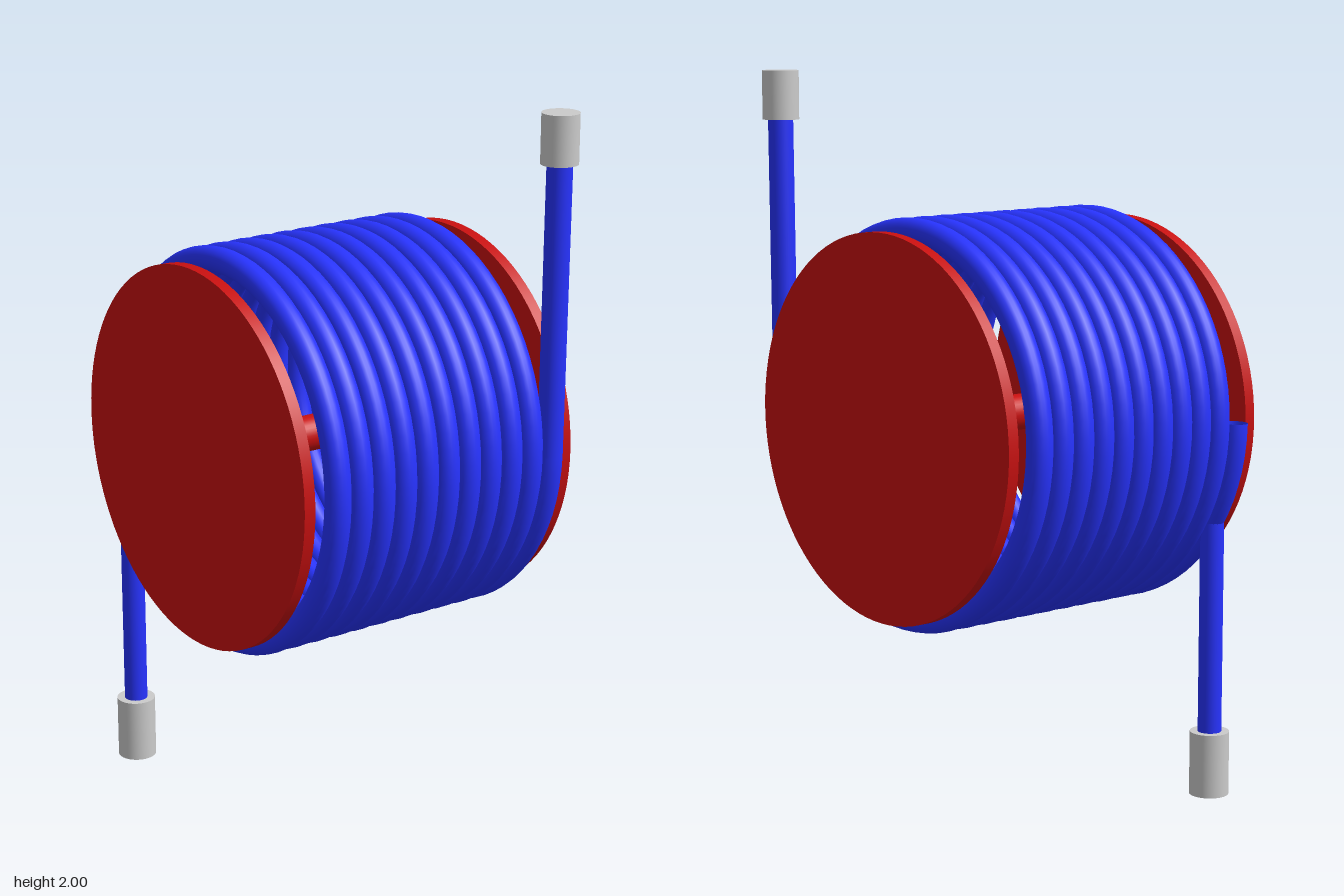
import * as THREE from 'three';

const CY = 1.06, CZ = -0.01;            // reel axis
const COIL_R = 0.527, HOSE_R = 0.035, TURNS = 10.5, COIL_X = 0.37;

const blue = new THREE.MeshStandardMaterial({ color: 0x2733ff, side: THREE.DoubleSide });
const red = new THREE.MeshStandardMaterial({ color: 0xc81010 });
const grey = new THREE.MeshStandardMaterial({ color: 0xcccccc });
const greyThin = new THREE.MeshStandardMaterial({ color: 0xcccccc, side: THREE.DoubleSide });

// Helix from the back of the reel, under it, to the front
class Helix extends THREE.Curve {
  getPoint(u, target = new THREE.Vector3()) {
    const a = u * TURNS * Math.PI * 2;
    return target.set(
      -COIL_X + 2 * COIL_X * u,
      CY - COIL_R * Math.sin(a),
      CZ - COIL_R * Math.cos(a)
    );
  }
}

export function createModel() {
  const model = new THREE.Group();
  const add = (name, geometry, material, x = 0, y = 0, z = 0) => {
    const mesh = new THREE.Mesh(geometry, material);
    mesh.name = name;
    mesh.position.set(x, y, z);
    model.add(mesh);
    return mesh;
  };
  const hose = (name, from, to, radius) =>
    add(name, new THREE.TubeGeometry(new THREE.LineCurve3(from, to), 1, radius, 32), blue);

  // Reel: two flanges on a thin axle
  for (const [name, side] of [['leftFlange', 1], ['rightFlange', -1]]) {
    add(name, new THREE.CylinderGeometry(0.53, 0.53, 0.033, 96), red, side * 0.424, CY, CZ)
      .rotation.z = Math.PI / 2;
  }
  add('axle', new THREE.CylinderGeometry(0.05, 0.05, 0.82, 32), red, 0, CY, CZ)
    .rotation.z = Math.PI / 2;

  // Hose wound around the reel
  add('hoseCoil', new THREE.TubeGeometry(new Helix(), 800, HOSE_R, 20), blue);

  // Straight runs at both ends of the hose
  hose('upperHose',
    new THREE.Vector3(COIL_X, CY, CZ + COIL_R),
    new THREE.Vector3(COIL_X, 1.88, 0.525), HOSE_R);
  hose('lowerHose',
    new THREE.Vector3(-0.364, 0.1, -0.46),
    new THREE.Vector3(-0.364, 0.97, -0.46), 0.033);
  add('lowerHoseRim', new THREE.RingGeometry(0.027, 0.034, 32), greyThin, -0.364, 0.971, -0.46)
    .rotation.x = -Math.PI / 2;

  // End fittings
  add('upperFitting', new THREE.CylinderGeometry(0.051, 0.051, 0.136, 40), grey, 0.368, 1.932, 0.526);
  add('lowerFitting', new THREE.CylinderGeometry(0.055, 0.055, 0.18, 40), grey, -0.364, 0.09, -0.46);

  return model;
}
